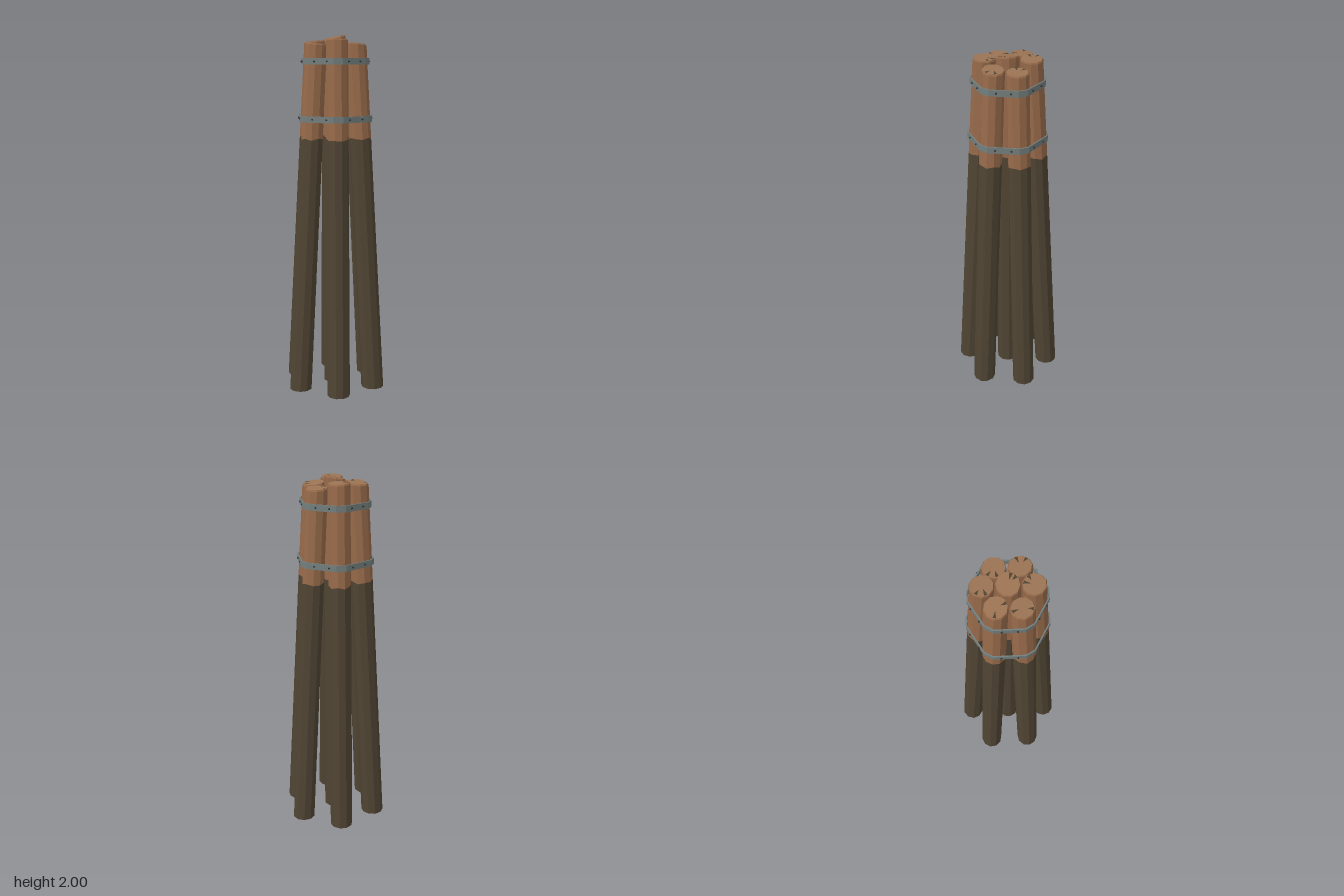
import * as THREE from 'three';

const SIDES = 10;
const flat = (color, name) => Object.assign(new THREE.MeshStandardMaterial({ color, flatShading: true }), { name });

// Skin between successive closed rings of points
function loft(rings) {
  const tris = [];
  for (let r = 0; r < rings.length - 1; r++) {
    const a = rings[r], b = rings[r + 1], n = a.length;
    for (let i = 0; i < n; i++) {
      const j = (i + 1) % n;
      tris.push(a[i], b[i], a[j], a[j], b[i], b[j]);
    }
  }
  return fromTriangles(tris);
}

// Flat lid over one ring
function lid(ring, up) {
  const c = ring.reduce((s, p) => s.add(p), new THREE.Vector3()).divideScalar(ring.length);
  const tris = [];
  ring.forEach((p, i) => {
    const q = ring[(i + 1) % ring.length];
    tris.push(c, up ? q : p, up ? p : q);
  });
  return fromTriangles(tris);
}

function fromTriangles(points) {
  const g = new THREE.BufferGeometry().setFromPoints(points);
  g.computeVertexNormals();
  return g;
}

export function createModel() {
  const model = new THREE.Group();
  const tarred = flat(0x4f4433, 'tarred wood');
  const wood = flat(0x976a4a, 'bare wood');
  const endGrain = flat(0x9b7353, 'end grain');
  const iron = flat(0x737e7c, 'iron strap');
  const rivetIron = flat(0x2f3432, 'dark rivet');
  const add = (parent, geometry, material, name) => {
    const mesh = new THREE.Mesh(geometry, material);
    mesh.name = name;
    parent.add(mesh);
    return mesh;
  };

  const START = -14 * Math.PI / 180;
  const spread = y => 0.24 - 0.06 * y;

  // One pile: angle around the cluster, top height, top slope in x and z, crack angles
  function pile(k, lean, angle, [h, sx, sz, ...cracks]) {
    const group = new THREE.Group();
    group.name = lean ? 'outerPile' + (k + 1) : 'centrePile';
    const at = (t, r, y, sloped, lift = 0) => {
      const dx = r * Math.cos(t), dz = r * Math.sin(t);
      const py = y + (sloped ? sx * dx + sz * dz : 0);
      const d = lean * spread(py);
      return new THREE.Vector3(d * Math.cos(angle) + dx, py + lift, d * Math.sin(angle) + dz);
    };
    const ring = (r, y, sloped, wave = 0) => Array.from({ length: SIDES }, (_, i) =>
      at(angle + (i + 0.5) / SIDES * Math.PI * 2, r, y + wave * Math.sin(i * 2.3 + k * 1.7), sloped));

    const foot = ring(0.064, 0, false);
    const tide = ring(0.0615, 1.437, false, 0.006);
    const shoulder = ring(0.06, h - 0.008, true);
    const top = ring(0.056, h, true);
    add(group, loft([foot, tide]), tarred, 'tarredShaft');
    add(group, lid(foot, false), tarred, 'foot');
    add(group, loft([tide, shoulder, top]), wood, 'bareShaft');
    add(group, lid(top, true), endGrain, 'endGrain');

    // Drying cracks: thin wedges from the rim toward the heart
    cracks.forEach((deg, i) => {
      const t = deg * Math.PI / 180, tip = i ? 0.024 : 0.017;
      add(group, fromTriangles([
        at(t, tip, h, true, 0.002),
        at(t + 0.17, 0.0525, h, true, 0.002),
        at(t - 0.17, 0.0525, h, true, 0.002)
      ]), tarred, 'crack');
    });
    model.add(group);
  }

  const tops = [
    [1.943, -0.05, 0.02, 180, 235],
    [1.95, -0.12, 0.03, -5, 55],
    [1.972, -0.03, 0.05, 300, -15],
    [1.95, -0.08, 0, 265, 115],
    [1.965, 0.05, 0.05, 205, 85],
    [1.976, -0.04, 0, 175, 230]
  ];
  tops.forEach((t, k) => pile(k, 1, START + k * Math.PI / 3, t));
  pile(6, 0, START, [1.986, 0.23, 0, 35, 65]);

  // Straps hugging the outer piles, with two rivets on each straight run
  function strap(y, height, name) {
    const group = new THREE.Group();
    group.name = name;
    const ring = (out, py) => {
      const pts = [];
      for (let k = 0; k < 6; k++) {
        const a = START + k * Math.PI / 3;
        for (const s of [-1, 1]) {
          const rad = spread(y) + 0.06 + out, side = s * (0.024 + out * 0.27);
          pts.push(new THREE.Vector3(
            rad * Math.cos(a) - side * Math.sin(a), py,
            rad * Math.sin(a) + side * Math.cos(a)));
        }
      }
      return pts;
    };
    const lo = y - height / 2, hi = y + height / 2, thick = 0.007;
    add(group, loft([ring(thick, lo), ring(thick, hi), ring(0, hi), ring(0, lo), ring(thick, lo)]), iron, 'band');

    const outer = ring(thick, y);
    const rivet = new THREE.CylinderGeometry(0.004, 0.006, 0.008, 6);
    for (let k = 0; k < 6; k++) {
      const p = outer[2 * k + 1], q = outer[(2 * k + 2) % 12];
      const normal = new THREE.Vector3(q.z - p.z, 0, p.x - q.x).normalize();
      for (const f of [0.25, 0.75]) {
        const m = add(group, rivet, rivetIron, 'rivet');
        m.position.lerpVectors(p, q, f).addScaledVector(normal, 0.002);
        m.quaternion.setFromUnitVectors(new THREE.Vector3(0, 1, 0), normal);
      }
    }
    model.add(group);
  }
  strap(1.855, 0.034, 'upperStrap');
  strap(1.546, 0.034, 'lowerStrap');

  return model;
}
